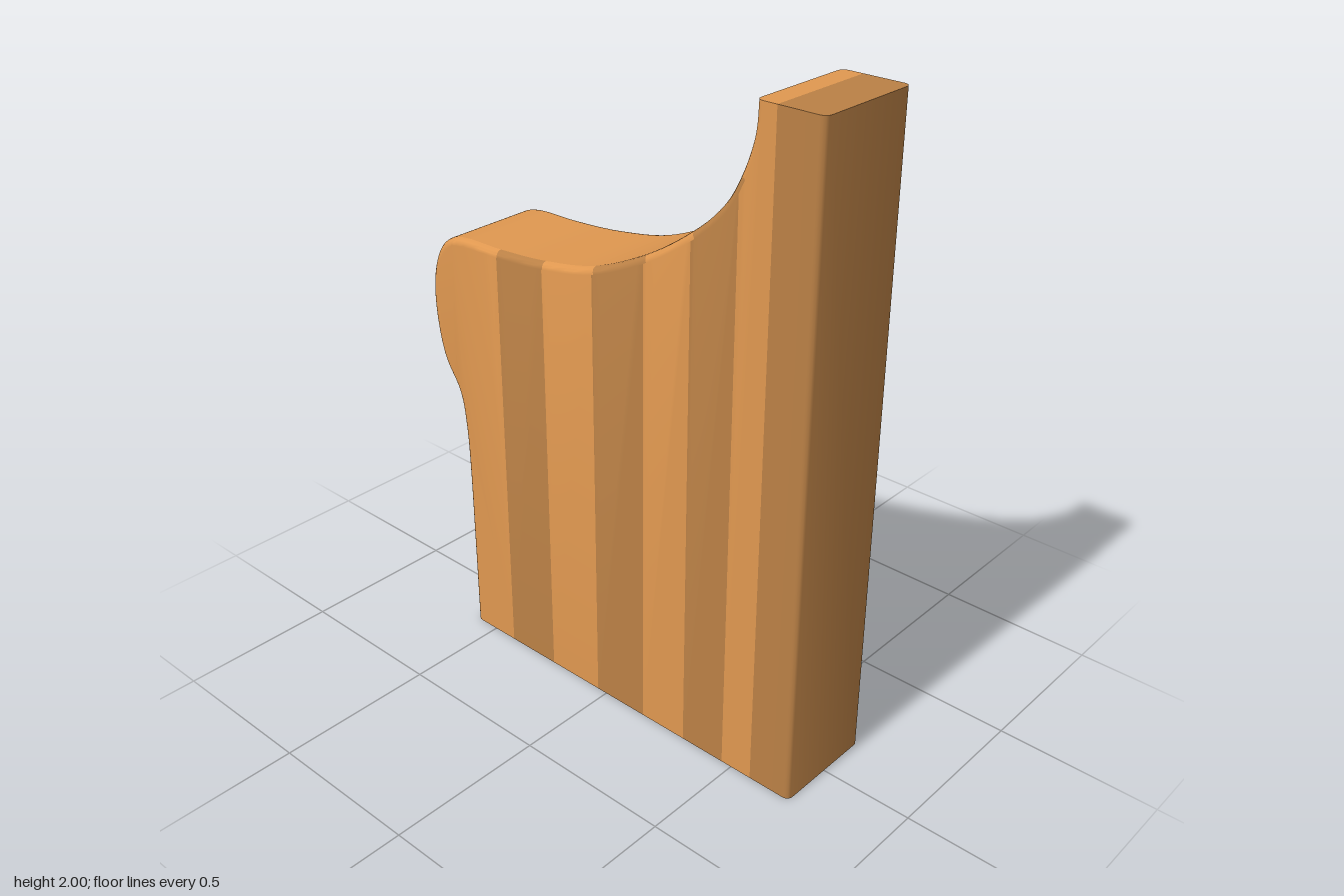
import * as THREE from 'three';
import { toCreasedNormals } from 'three/addons/utils/BufferGeometryUtils.js';

const HALF = 0.17, BEVEL = 0.02, STEPS = 4, HEIGHT = 2, RIGHT = 0.71;
const LIGHT = 0xe09850, DARK = 0xbb8146;
const SEAMS = [-0.415, -0.23, -0.035, 0.155, 0.315, 0.465, 0.57];

// Left edge, rounded nose and sweeping top, from the foot up to the post
const PROFILE = [
  [-0.59, 0], [-0.591, 0.3], [-0.593, 0.58], [-0.6, 0.73], [-0.62, 0.84], [-0.678, 0.94],
  [-0.705, 1.06], [-0.708, 1.18], [-0.682, 1.28], [-0.635, 1.338], [-0.56, 1.36],
  [-0.415, 1.364], [-0.235, 1.38], [-0.04, 1.42], [0.155, 1.51], [0.31, 1.615],
  [0.41, 1.71], [0.465, 1.805], [0.5, 1.91], [0.507, 2],
];

const isEnd = (p) => p.y === 0 || p.y === HEIGHT;
const plankAt = (x) => SEAMS.filter((s) => s < x).length;

// Closed clockwise outline with a point wherever a seam crosses it
function makeOutline() {
  const curve = new THREE.SplineCurve(PROFILE.map(([x, y]) => new THREE.Vector2(x, y)));
  const corners = [...curve.getPoints(114), new THREE.Vector2(RIGHT, HEIGHT), new THREE.Vector2(RIGHT, 0)];
  corners[0].y = 0;
  corners[114].y = HEIGHT;
  const out = [];
  corners.forEach((a, i) => {
    const b = corners[(i + 1) % corners.length];
    out.push(a);
    SEAMS.map((s) => (s - a.x) / (b.x - a.x))
      .filter((t) => t > 1e-4 && t < 1 - 1e-4)
      .sort((p, q) => p - q)
      .forEach((t) => out.push(a.clone().lerp(b, t)));
  });
  return out;
}

// Pull the outline inwards; the flat top and bottom stay at their height
function inset(outline, d) {
  const n = outline.length;
  return outline.map((p, i) => {
    const a = outline[(i + n - 1) % n], b = outline[(i + 1) % n];
    if (isEnd(p)) {
      if (a.y === p.y && b.y === p.y) return p.clone();
      return new THREE.Vector2(p.x + (p.x > 0.6 ? -d : d), p.y);
    }
    const t = b.clone().sub(a).normalize();
    return new THREE.Vector2(p.x + t.y * d, p.y - t.x * d);
  });
}

// Keep the part of a polygon where side * (x - limit) >= 0
function clip(poly, limit, side) {
  const out = [];
  poly.forEach((a, i) => {
    const b = poly[(i + 1) % poly.length];
    const da = side * (a.x - limit), db = side * (b.x - limit);
    if (da >= 0) out.push(a);
    if (da * db < 0) out.push(a.clone().lerp(b, da / (da - db)));
  });
  return out;
}

export function createModel() {
  const group = new THREE.Group();
  const outline = makeOutline();
  const n = outline.length;
  const planks = Array.from({ length: SEAMS.length + 1 }, () => []);
  const rim = [];

  // Rounded front edge, then the same rings mirrored for the back
  const rings = [];
  for (let k = 0; k <= STEPS; k++) {
    const a = (k / STEPS) * Math.PI / 2;
    rings.push({ pts: inset(outline, BEVEL * (1 - Math.sin(a))), z: HALF - BEVEL + BEVEL * Math.cos(a) });
  }
  rings.push(...rings.map((r) => ({ pts: r.pts, z: -r.z })).reverse());

  // Edge surfaces: the sweeping edge is plain, everything else follows its plank
  for (let r = 0; r + 1 < rings.length; r++) {
    const f = rings[r], b = rings[r + 1];
    for (let i = 0; i < n; i++) {
      const j = (i + 1) % n, p = outline[i], q = outline[j];
      const mid = (p.x + q.x) / 2;
      const swept = mid < 0.6 && p.y !== q.y;
      const bin = swept && r === STEPS ? rim : planks[plankAt(mid)];
      const A = [f.pts[i].x, f.pts[i].y, f.z], B = [f.pts[j].x, f.pts[j].y, f.z];
      const C = [b.pts[j].x, b.pts[j].y, b.z], D = [b.pts[i].x, b.pts[i].y, b.z];
      bin.push(...A, ...B, ...C, ...A, ...C, ...D);
    }
  }

  // Flat front and back of every plank
  const face = rings[0].pts.slice().reverse();
  planks.forEach((bin, k) => {
    let poly = face;
    if (k > 0) poly = clip(poly, SEAMS[k - 1], 1);
    if (k < SEAMS.length) poly = clip(poly, SEAMS[k], -1);
    for (const [a, b, c] of THREE.ShapeUtils.triangulateShape(poly, [])) {
      for (const v of [a, b, c]) bin.push(poly[v].x, poly[v].y, HALF);
      for (const v of [a, c, b]) bin.push(poly[v].x, poly[v].y, -HALF);
    }
  });

  const add = (name, positions, color) => {
    const geo = new THREE.BufferGeometry();
    geo.setAttribute('position', new THREE.Float32BufferAttribute(positions, 3));
    const mesh = new THREE.Mesh(toCreasedNormals(geo, 0.6), new THREE.MeshStandardMaterial({ color }));
    mesh.name = name;
    group.add(mesh);
  };
  planks.forEach((bin, k) => add(`plank${k + 1}`, bin, k % 2 ? DARK : LIGHT));
  add('sweptEdge', rim, LIGHT);
  return group;
}
